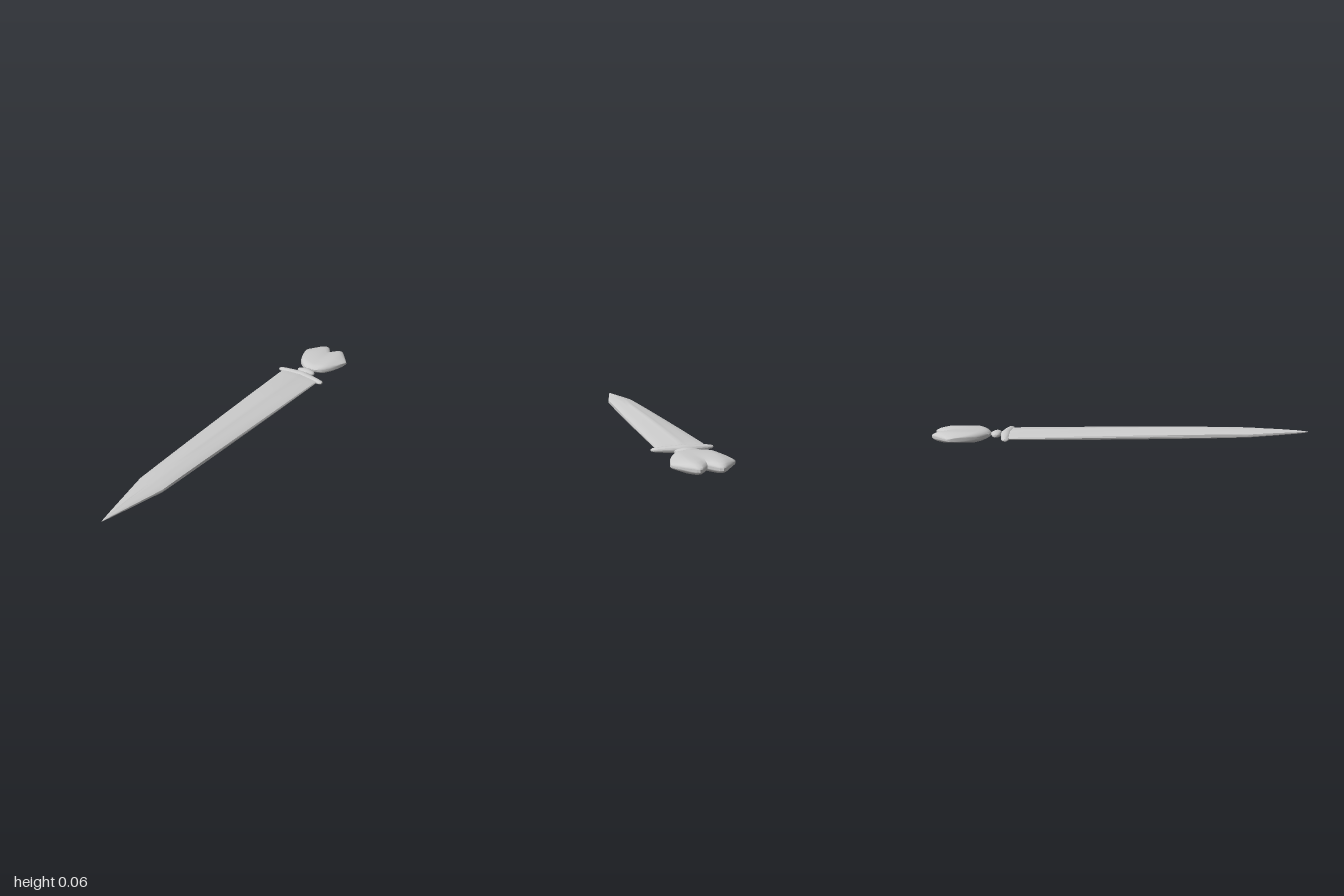
import * as THREE from 'three';
import { mergeVertices, toCreasedNormals } from 'three/addons/utils/BufferGeometryUtils.js';

const MID = 0.033; // height of the plane of symmetry
const material = new THREE.MeshStandardMaterial({ color: 0xcccccc });

// Skin closed counter-clockwise rings (arrays of [x, y, z]) and cap both ends.
function loft(name, rings, crease) {
  const n = rings[0].length;
  const index = [];
  for (let i = 0; i < rings.length - 1; i++) {
    for (let j = 0; j < n; j++) {
      const a = i * n + j, b = i * n + (j + 1) % n;
      index.push(a, b, b + n, a, b + n, a + n);
    }
  }
  const last = (rings.length - 1) * n;
  for (let j = 1; j < n - 1; j++) {
    index.push(0, j + 1, j, last, last + j, last + j + 1);
  }
  let geo = new THREE.BufferGeometry();
  geo.setAttribute('position', new THREE.Float32BufferAttribute(rings.flat(2), 3));
  geo.setIndex(index);
  geo = toCreasedNormals(mergeVertices(geo), crease);
  const mesh = new THREE.Mesh(geo, material);
  mesh.name = name;
  mesh.position.y = MID;
  return mesh;
}

// Blade section: raised central ridge, hollow faces, thin rounded edge.
function bladeRing([z, w, t]) {
  const quarter = [[1, 0], [0.97, 0.28], [0.85, 0.46], [0.6, 0.66], [0.3, 0.78], [0.12, 0.9], [0, 1]];
  const upper = [...quarter, ...quarter.slice(0, -1).reverse().map(([x, y]) => [-x, y])];
  const lower = upper.slice(1, -1).reverse().map(([x, y]) => [x, -y]);
  return [...upper, ...lower].map(([x, y]) => [x * w, y * t, z]);
}

// Loft across the width from half stations [x, zBack, zFront, halfThickness], mirrored.
function crosswise(name, stations, profile, crease) {
  const all = [...stations.slice(1).reverse().map(([x, ...r]) => [-x, ...r]), ...stations];
  const outline = [
    ...profile.map(([u, v]) => [u, -v]).reverse(),
    ...profile,
  ];
  // u runs from back (0) to front (1); the ring turns from +y to +z
  const rings = all.map(([x, z0, z1, t]) =>
    outline.map(([u, v]) => [x, v * t, z0 + (z1 - z0) * u]).reverse());
  return loft(name, rings, crease);
}

export function createModel() {
  const model = new THREE.Group();

  // Long tapering blade, stations [z, halfWidth, halfThickness]
  model.add(loft('blade', [
    [-0.61, 0.118, 0.012], [-0.58, 0.119, 0.017], [-0.54, 0.118, 0.023],
    [-0.25, 0.109, 0.028], [0, 0.1, 0.031], [0.35, 0.087, 0.031],
    [0.55, 0.079, 0.029], [0.68, 0.074, 0.025], [0.83, 0.04, 0.018],
    [0.95, 0.013, 0.009], [0.985, 0.005, 0.004], [1, 0.0008, 0.001],
  ].map(bladeRing), 0.6));

  // Rounded sections, listed along the upper side from front to back
  const round = Array.from({ length: 7 }, (_, i) => {
    const a = (i + 0.5) / 7 * Math.PI;
    return [0.5 + 0.5 * Math.cos(a), Math.sin(a)];
  });
  const lobe = [[1, 0.2], [0.97, 0.55], [0.92, 0.82], [0.84, 1], [0.5, 1.04],
    [0.2, 1], [0.08, 0.75], [0.02, 0.45], [0, 0.2]];

  // Cross guard with a peaked centre
  model.add(crosswise('guard', [
    [0, -0.645, -0.588, 0.021], [0.03, -0.643, -0.588, 0.017],
    [0.07, -0.637, -0.588, 0.015], [0.12, -0.628, -0.588, 0.011],
    [0.14, -0.623, -0.59, 0.008], [0.147, -0.613, -0.597, 0.005],
  ], round, 0.8));

  // Small flattened bead for the grip
  model.add(crosswise('gripBead', [
    [0, -0.7, -0.636, 0.018], [0.02, -0.694, -0.641, 0.016],
    [0.04, -0.688, -0.647, 0.012], [0.052, -0.68, -0.655, 0.008],
    [0.056, -0.672, -0.663, 0.004],
  ], round, 0.9));

  // Heart-shaped pommel with a notch in its back end
  model.add(crosswise('pommel', [
    [0, -0.945, -0.697, 0.026], [0.02, -0.975, -0.7, 0.0262],
    [0.036, -0.995, -0.706, 0.0268], [0.05, -1, -0.712, 0.027],
    [0.063, -0.994, -0.72, 0.027], [0.08, -0.975, -0.737, 0.0265],
    [0.1, -0.951, -0.766, 0.021], [0.12, -0.927, -0.81, 0.0155],
    [0.134, -0.91, -0.855, 0.011], [0.141, -0.9, -0.885, 0.006],
  ], lobe, 0.7));

  return model;
}
